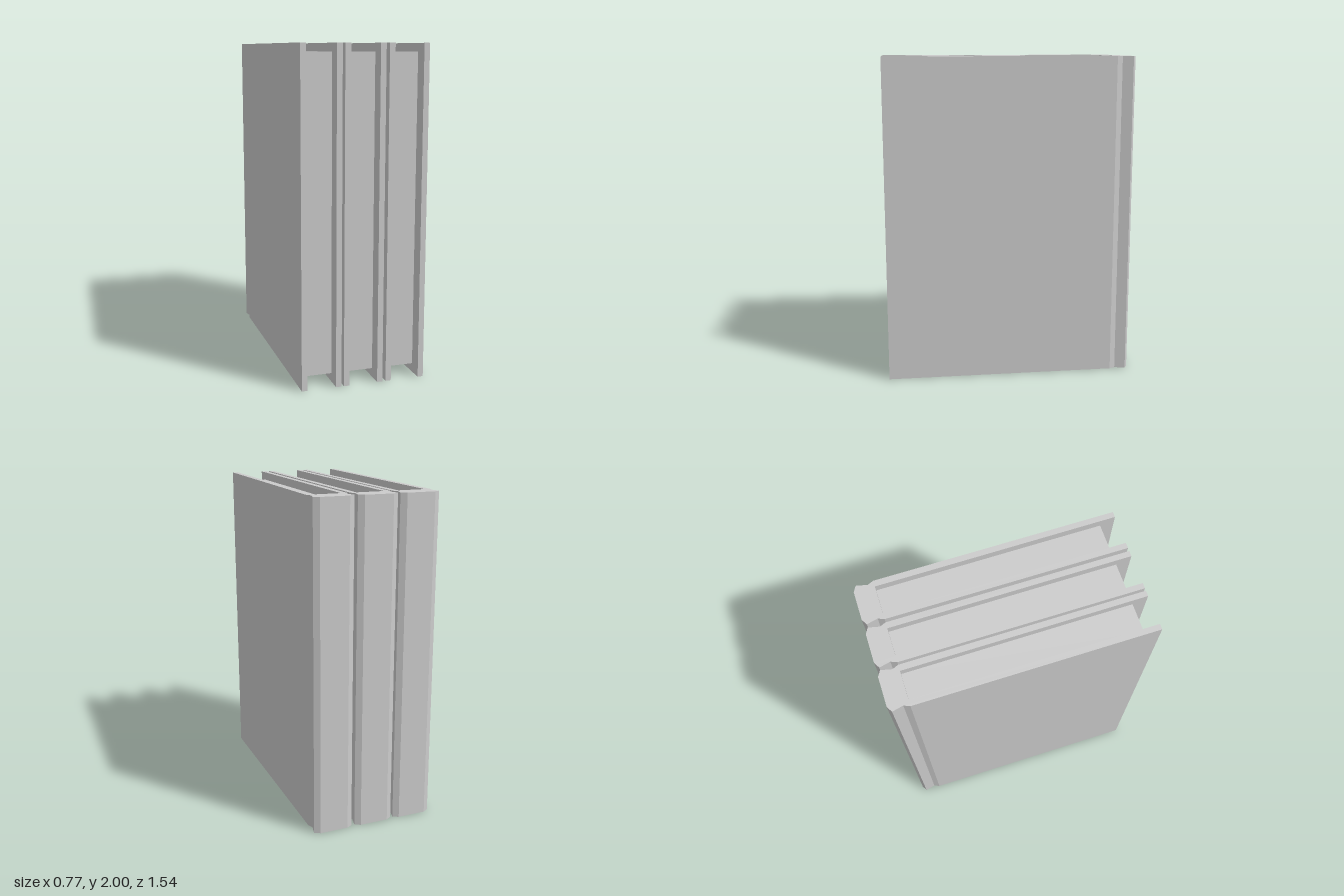
import * as THREE from 'three';

const HEIGHT = 2;

// Half outline of the cover seen from above, as [x, z]: spine, hinge groove, board, inner face
const HALF_COVER = [
  [0.088, -0.77], [0.122, -0.75], [0.107, -0.685], [0.122, -0.65],
  [0.122, 0.77], [0.088, 0.77], [0.085, -0.65],
];

function createCoverGeometry() {
  const mirrored = HALF_COVER.map(([x, z]) => [-x, z]).reverse();
  // Shape y becomes -z once the extrusion is stood upright
  const outline = [...HALF_COVER, ...mirrored].map(([x, z]) => new THREE.Vector2(x, -z));
  const geometry = new THREE.ExtrudeGeometry(new THREE.Shape(outline), {
    depth: HEIGHT, bevelEnabled: false,
  });
  return geometry.rotateX(-Math.PI / 2);
}

export function createModel() {
  const model = new THREE.Group();
  model.name = 'bookRow';
  const material = new THREE.MeshStandardMaterial({ color: 0xcccccc, flatShading: true });

  const coverGeometry = createCoverGeometry();
  // Page block, set back from the cover at top, bottom and front
  const pagesGeometry = new THREE.BoxGeometry(0.174, 1.895, 1.335);
  pagesGeometry.translate(0, 1.0025, 0.0175);

  [-0.262, -0.003, 0.261].forEach((x, i) => {
    const book = new THREE.Group();
    book.name = `book${i + 1}`;
    book.position.x = x;

    const cover = new THREE.Mesh(coverGeometry, material);
    cover.name = 'cover';
    const pages = new THREE.Mesh(pagesGeometry, material);
    pages.name = 'pages';

    book.add(cover, pages);
    model.add(book);
  });

  return model;
}
